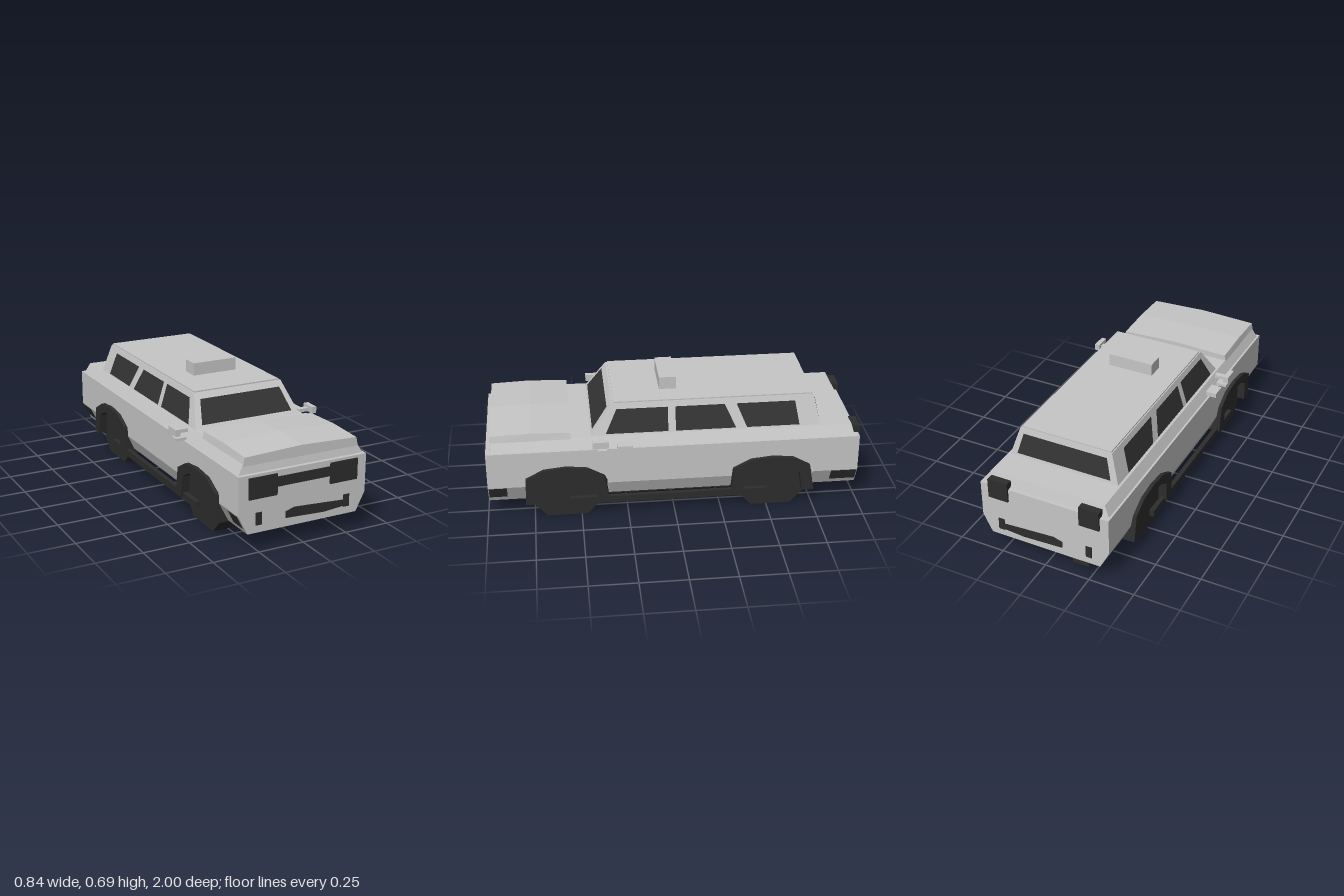
import * as THREE from 'three';

const body = new THREE.MeshStandardMaterial({ name: 'light grey paint', color: 0xc6c6c6, flatShading: true });
const dark = new THREE.MeshStandardMaterial({ name: 'dark trim', color: 0x2d2d2d, flatShading: true });
const glass = new THREE.MeshStandardMaterial({ name: 'dark glass', color: 0x333333, flatShading: true, side: THREE.DoubleSide });

export function createModel() {
  const model = new THREE.Group();
  model.name = 'car';

  const add = (name, geometry, material) => {
    const mesh = new THREE.Mesh(geometry, material);
    mesh.name = name;
    model.add(mesh);
    return mesh;
  };
  const shapeOf = (pts) => new THREE.Shape(pts.map(([a, b]) => new THREE.Vector2(a, b)));
  const extrude = (shape, depth) => new THREE.ExtrudeGeometry(shape, { depth, bevelEnabled: false });
  // Side profile given as [z, y], extruded from x0 to x1
  const alongX = (shape, x0, x1) => extrude(shape, x1 - x0).rotateY(-Math.PI / 2).translate(x1, 0, 0);
  // Front profile given as [x, y], extruded from z0 to z1
  const alongZ = (shape, z0, z1) => extrude(shape, z1 - z0).translate(0, 0, z0);
  const box = (name, x0, x1, y0, y1, z0, z1, material) => add(name,
    new THREE.BoxGeometry(x1 - x0, y1 - y0, z1 - z0)
      .translate((x0 + x1) / 2, (y0 + y1) / 2, (z0 + z1) / 2), material);
  const quad = (name, pts) => {
    const g = new THREE.BufferGeometry();
    g.setAttribute('position', new THREE.Float32BufferAttribute(pts.flat(), 3));
    g.setIndex([0, 1, 2, 0, 2, 3]);
    g.computeVertexNormals();
    return add(name, g, glass);
  };
  // Tapered block; each level is { y, x, front, rear }
  const frustum = (name, low, high) => {
    const g = new THREE.BoxGeometry(2, 1, 2);
    const p = g.attributes.position;
    for (let i = 0; i < p.count; i++) {
      const l = p.getY(i) > 0 ? high : low;
      p.setXYZ(i, Math.sign(p.getX(i)) * l.x, l.y, p.getZ(i) > 0 ? l.front : l.rear);
    }
    g.computeVertexNormals();
    return add(name, g, body);
  };

  // Wheel arch outline, relative to the axle z
  const archPts = [[0.22, 0.1], [0.215, 0.25], [0.12, 0.3], [0, 0.312], [-0.11, 0.3], [-0.2, 0.25], [-0.225, 0.1]];
  const axles = [0.575, -0.525];

  // Upper body with arch notches
  const upper = [[0.99, 0.2], [0.99, 0.402], [-0.99, 0.402], [-0.99, 0.2]];
  for (const z of [...axles].reverse()) {
    const notch = archPts.map(([a, y]) => [a + z, Math.max(y, 0.2)]).reverse();
    upper.push(...notch);
  }
  add('upperBody', alongX(shapeOf(upper), -0.36, 0.36), body);

  // Lower body ends and sills with chamfered sides
  const lower = (name, z0, z1, yb, xb) =>
    add(name, alongZ(shapeOf([[-xb, yb], [xb, yb], [0.36, 0.2], [-0.36, 0.2]]), z0, z1), body);
  lower('frontBumper', 0.79, 0.99, 0.1, 0.31);
  lower('sill', -0.305, 0.355, 0.12, 0.325);
  lower('rearBumper', -0.99, -0.745, 0.1, 0.31);

  // Shoulder and cabin
  frustum('shoulder', { y: 0.4, x: 0.35, front: 0.97, rear: -0.965 }, { y: 0.457, x: 0.32, front: 0.96, rear: -0.95 });
  const base = { y: 0.44, x: 0.312, front: 0.45, rear: -0.785 };
  const top = { y: 0.615, x: 0.258, front: 0.325, rear: -0.75 };
  frustum('cabin', base, top);
  box('roof', -0.252, 0.252, 0.61, 0.622, -0.745, 0.315, body);
  box('roofSign', -0.127, 0.127, 0.62, 0.69, -0.03, 0.062, body);

  // Domed bonnet
  const hood = new THREE.BoxGeometry(0.65, 0.045, 0.42, 2, 1, 2);
  const hp = hood.attributes.position;
  for (let i = 0; i < hp.count; i++) {
    const x = hp.getX(i), z = hp.getZ(i);
    if (hp.getY(i) > 0) {
      const rise = (Math.abs(x) < 0.01 ? 0.012 : 0) + (Math.abs(z) < 0.01 ? 0.008 : 0);
      hp.setY(i, 0.0225 + rise);
      hp.setX(i, x * 0.97);
    }
  }
  hood.translate(0, 0.4635, 0.755);
  hood.computeVertexNormals();
  add('bonnet', hood, body);

  // Windows lie just outside the cabin walls
  const lerp = THREE.MathUtils.lerp;
  const at = (key, y) => lerp(base[key], top[key], (y - base.y) / (top.y - base.y));
  const sideWindows = [
    [0.36, 0.03, 0.03, 0.30],
    [-0.01, -0.33, -0.272, -0.01],
    [-0.388, -0.67, -0.648, -0.335],
  ];
  for (const s of [1, -1]) {
    for (const [a, b, c, d] of sideWindows) {
      const point = (z, y) => [s * (at('x', y) + 0.004), y, z];
      quad('sideWindow', [point(a, 0.464), point(b, 0.464), point(c, 0.588), point(d, 0.588)]);
    }
  }
  for (const [name, key, off, y0] of [['windscreen', 'front', 0.005, 0.475], ['rearWindow', 'rear', -0.005, 0.475]]) {
    const point = (x, y) => [x, y, at(key, y) + off];
    quad(name, [point(-0.265, y0), point(0.265, y0), point(0.235, 0.588), point(-0.235, 0.588)]);
  }

  // Floor pan
  box('floor', -0.24, 0.24, 0.062, 0.25, -0.82, 0.82, dark);

  // Arches, wheels, side steps, mirrors and corner markers on both sides
  const wheelPts = [[-0.107, 0], [0.107, 0], [0.172, 0.07], [0.172, 0.19], [0.1, 0.285], [-0.1, 0.285], [-0.172, 0.19], [-0.172, 0.07]];
  for (const s of [1, -1]) {
    const span = (a, b) => (s > 0 ? [a, b] : [-b, -a]);
    for (const z of axles) {
      const inner = archPts.map(([a, y]) => [a * 0.72, 0.1 + (y - 0.1) * 0.78]).reverse();
      const ring = shapeOf([...archPts, ...inner].map(([a, y]) => [a + z, y]));
      add('wheelArch', alongX(ring, ...span(0.3, 0.38)), dark);
      add('wheel', alongX(shapeOf(wheelPts.map(([a, y]) => [a + z, y])), ...span(0.23, 0.335)), dark);
    }
    box('sideStep', ...span(0.345, 0.37), 0.083, 0.12, -0.5, 0.56, dark);
    box('mirrorArm', ...span(0.33, 0.4), 0.442, 0.46, 0.37, 0.4, body);
    box('mirror', ...span(0.39, 0.418), 0.438, 0.474, 0.35, 0.435, body);
    box('mirrorFoot', ...span(0.345, 0.405), 0.403, 0.418, 0.36, 0.41, body);
    box('doorHandle', ...span(0.34, 0.4), 0.41, 0.435, 0.225, 0.305, body);
    for (const [z0, z1] of [[0.89, 0.985], [-0.985, -0.845]]) {
      const point = (y, z) => [s * (0.31 + (y - 0.1) * 0.5 + 0.005), y, z];
      quad('cornerMarker', [point(0.13, z0), point(0.13, z1), point(0.2, z1), point(0.2, z0)]);
    }
    box('headlight', ...span(0.15, 0.307), 0.278, 0.388, 0.99, 0.998, dark);
    box('tailLight', ...span(0.2, 0.312), 0.33, 0.44, -1, -0.96, dark);
    for (const z of [0.988, -0.995]) box('bumperMarker', ...span(0.233, 0.266), 0.14, 0.205, z, z + 0.007, dark);
  }

  // Grille, intake strips and tow bracket
  box('grille', -0.15, 0.15, 0.32, 0.37, 0.99, 0.997, dark);
  const intake = shapeOf([[-0.1, 0.147], [0.12, 0.137], [0.235, 0.147], [0.235, 0.178], [-0.05, 0.195], [-0.1, 0.18]]);
  add('frontIntake', alongZ(intake, 0.988, 0.996), dark);
  add('rearIntake', alongZ(intake, -0.996, -0.988), dark);
  box('towBracket', -0.25, -0.16, 0.078, 0.1, -0.995, -0.85, dark);

  return model;
}
